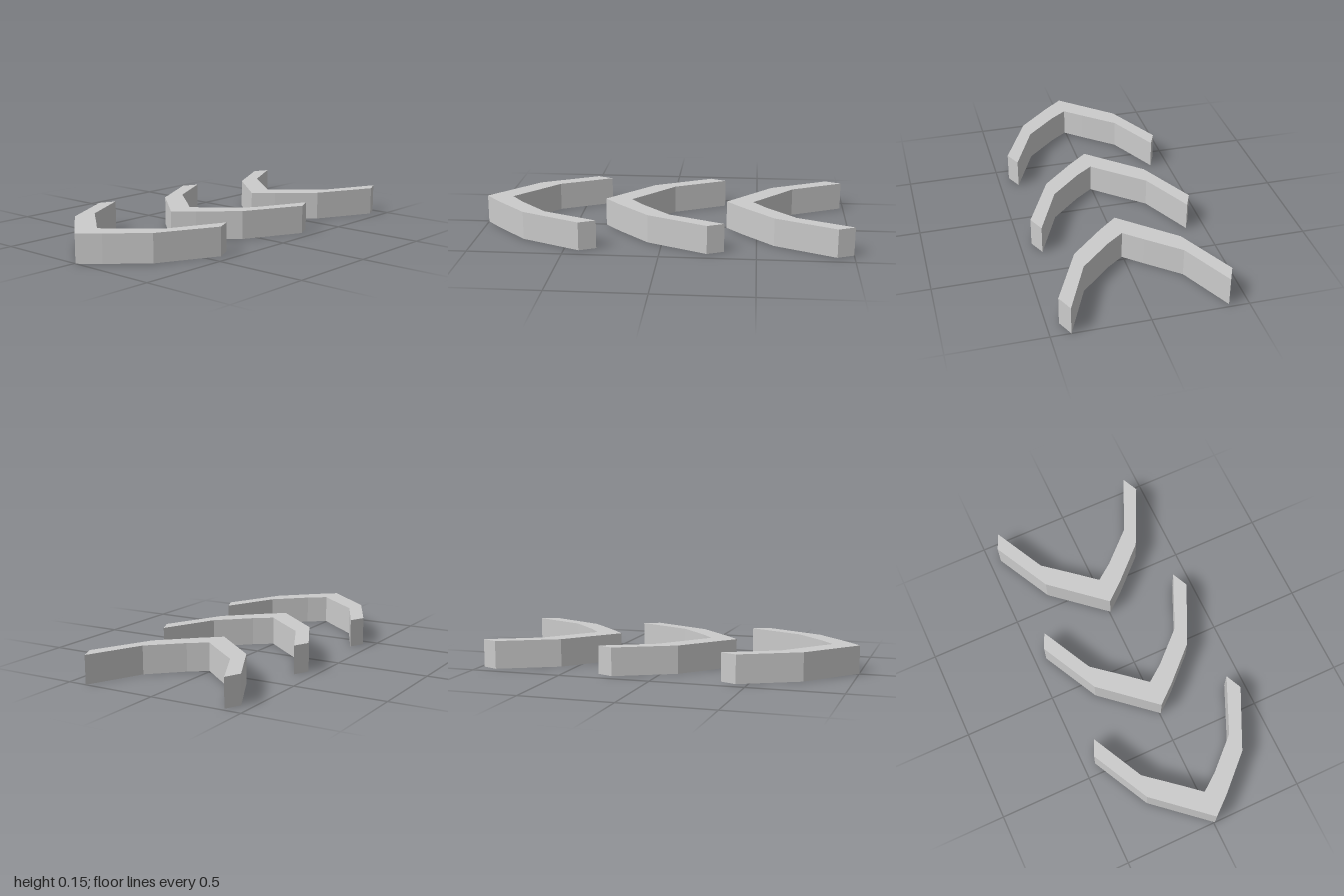
import * as THREE from 'three';

const HEIGHT = 0.152;
const SPACING = 0.667;

// Plan outline of one chevron as [x, z], x measured from its pointed tip
const OUTLINE = [
  [0, 0.007],                                                     // outer tip
  [0.086, 0.108], [0.257, 0.285], [0.578, 0.438],                 // front arm, outer edge
  [0.666, 0.397], [0.37, 0.264], [0.214, 0.1],                    // front arm, inner edge
  [0.144, 0.007],                                                 // inner tip
  [0.225, -0.088], [0.364, -0.256], [0.647, -0.4],                // back arm, inner edge
  [0.561, -0.438], [0.246, -0.277],                               // back arm, outer edge
];

export function createModel() {
  const model = new THREE.Group();
  model.name = 'chevronRow';

  const shape = new THREE.Shape(OUTLINE.map(([x, z]) => new THREE.Vector2(x, -z)));
  const geometry = new THREE.ExtrudeGeometry(shape, { depth: HEIGHT, bevelEnabled: false });
  geometry.rotateX(-Math.PI / 2); // lay the outline flat, thickness upward
  const material = new THREE.MeshStandardMaterial({ color: 0xcccccc, flatShading: true });

  // Three identical chevrons in a row, all pointing to -x
  ['rightChevron', 'middleChevron', 'leftChevron'].forEach((name, i) => {
    const chevron = new THREE.Mesh(geometry, material);
    chevron.name = name;
    chevron.position.x = -1 + i * SPACING;
    model.add(chevron);
  });
  return model;
}
